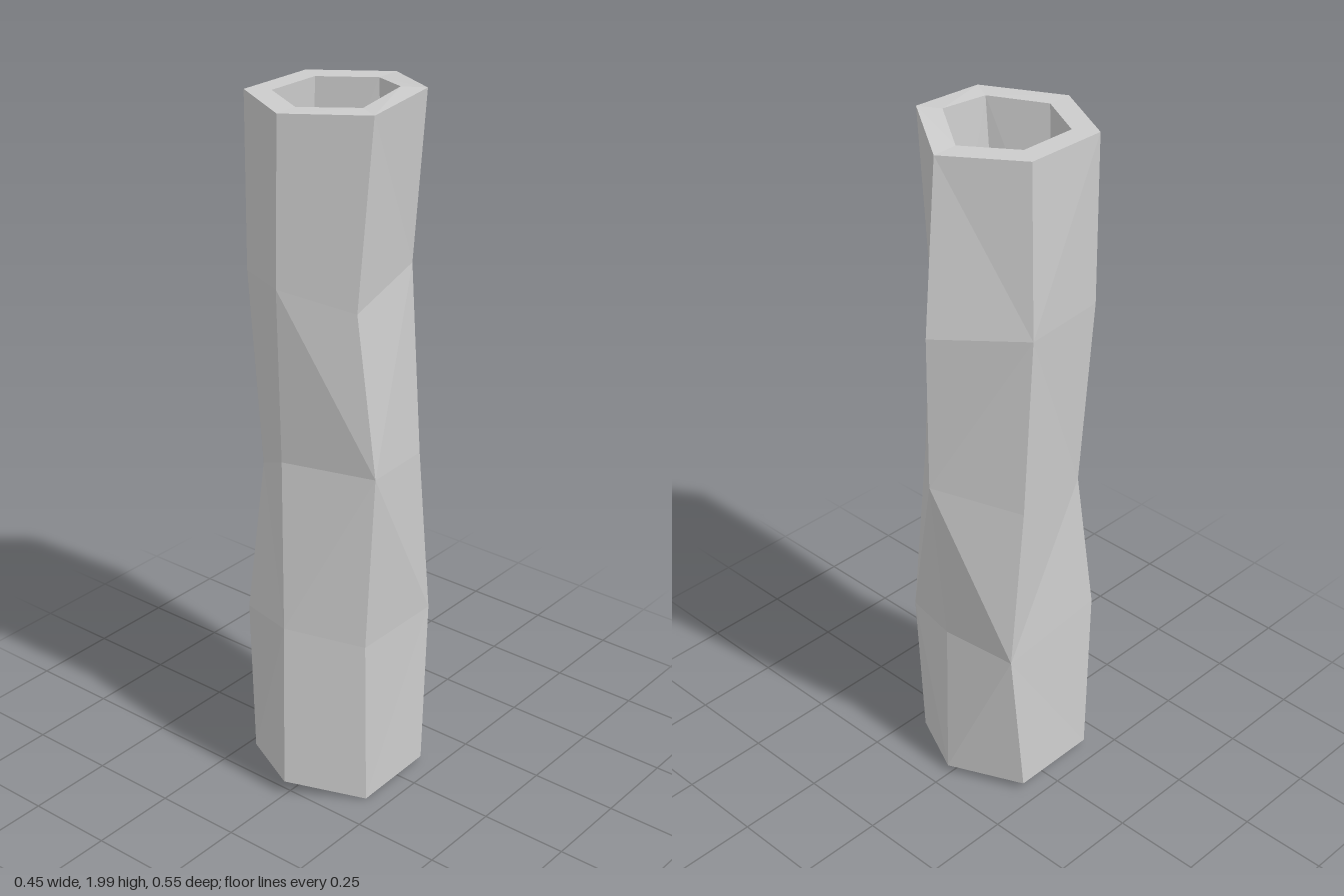
import * as THREE from 'three';

// Five uneven hexagonal rings, bottom to top; corners run
// front, front +x, back +x, back, back -x, front -x as [x, y, z].
const RINGS = [
  [[0, 0.05, 0.275], [0.19, 0.005, 0.145], [0.197, 0.02, -0.1], [0.01, 0.025, -0.19], [-0.205, 0.03, -0.097], [-0.203, 0.03, 0.165]],
  [[0.006, 0.55, 0.273], [0.187, 0.5, 0.148], [0.186, 0.5, -0.138], [0.025, 0.5, -0.17], [-0.185, 0.48, -0.13], [-0.185, 0.52, 0.2]],
  [[-0.035, 1.02, 0.225], [0.222, 1.02, 0.153], [0.185, 1.0, -0.085], [0.015, 1.02, -0.235], [-0.2, 0.97, -0.1], [-0.165, 0.95, 0.15]],
  [[-0.015, 1.52, 0.26], [0.17, 1.47, 0.165], [0.147, 1.53, -0.09], [-0.024, 1.5, -0.273], [-0.225, 1.5, -0.098], [-0.2, 1.5, 0.16]],
  [[0, 1.975, 0.264], [0.205, 1.98, 0.145], [0.19, 1.997, -0.085], [-0.015, 1.975, -0.225], [-0.207, 1.975, -0.09], [-0.207, 1.975, 0.15]],
];
const WALL = 0.7; // bore size relative to the outside

// Shrink a ring towards its own middle to get the bore.
function innerRing(ring) {
  const cx = ring.reduce((s, p) => s + p[0], 0) / 6;
  const cz = ring.reduce((s, p) => s + p[2], 0) / 6;
  return ring.map(([x, y, z]) => [cx + (x - cx) * WALL, y, cz + (z - cz) * WALL]);
}

// Faceted band between two rings; fan(i) picks which diagonal splits each panel.
function band(lower, upper, fan, flip = false) {
  const pos = [];
  const tri = (a, b, c) => pos.push(...a, ...(flip ? c : b), ...(flip ? b : c));
  for (let i = 0; i < 6; i++) {
    const j = (i + 1) % 6;
    const [a, b, c, d] = [lower[i], lower[j], upper[j], upper[i]];
    if (fan(i)) { tri(a, b, c); tri(a, c, d); }
    else { tri(a, b, d); tri(b, c, d); }
  }
  return pos;
}

function mesh(name, pos, material) {
  const geometry = new THREE.BufferGeometry();
  geometry.setAttribute('position', new THREE.Float32BufferAttribute(pos, 3));
  geometry.computeVertexNormals();
  const m = new THREE.Mesh(geometry, material);
  m.name = name;
  return m;
}

export function createModel() {
  const group = new THREE.Group();
  group.name = 'hollowHexTube';
  const material = new THREE.MeshStandardMaterial({ color: 0xcccccc, flatShading: true });
  const inner = RINGS.map(innerRing);

  // Outer and inner walls, with creases fanning from alternate corners of the odd rings
  const outerPos = [], innerPos = [];
  for (let k = 0; k < 4; k++) {
    const fan = (i) => (i % 2 === 0) === (k % 2 === 1);
    outerPos.push(...band(RINGS[k], RINGS[k + 1], fan));
    innerPos.push(...band(inner[k], inner[k + 1], fan, true));
  }
  group.add(mesh('outerWall', outerPos, material), mesh('innerWall', innerPos, material));

  // End rims
  group.add(mesh('topRim', band(RINGS[4], inner[4], () => true), material));
  group.add(mesh('bottomRim', band(RINGS[0], inner[0], () => true, true), material));
  return group;
}
